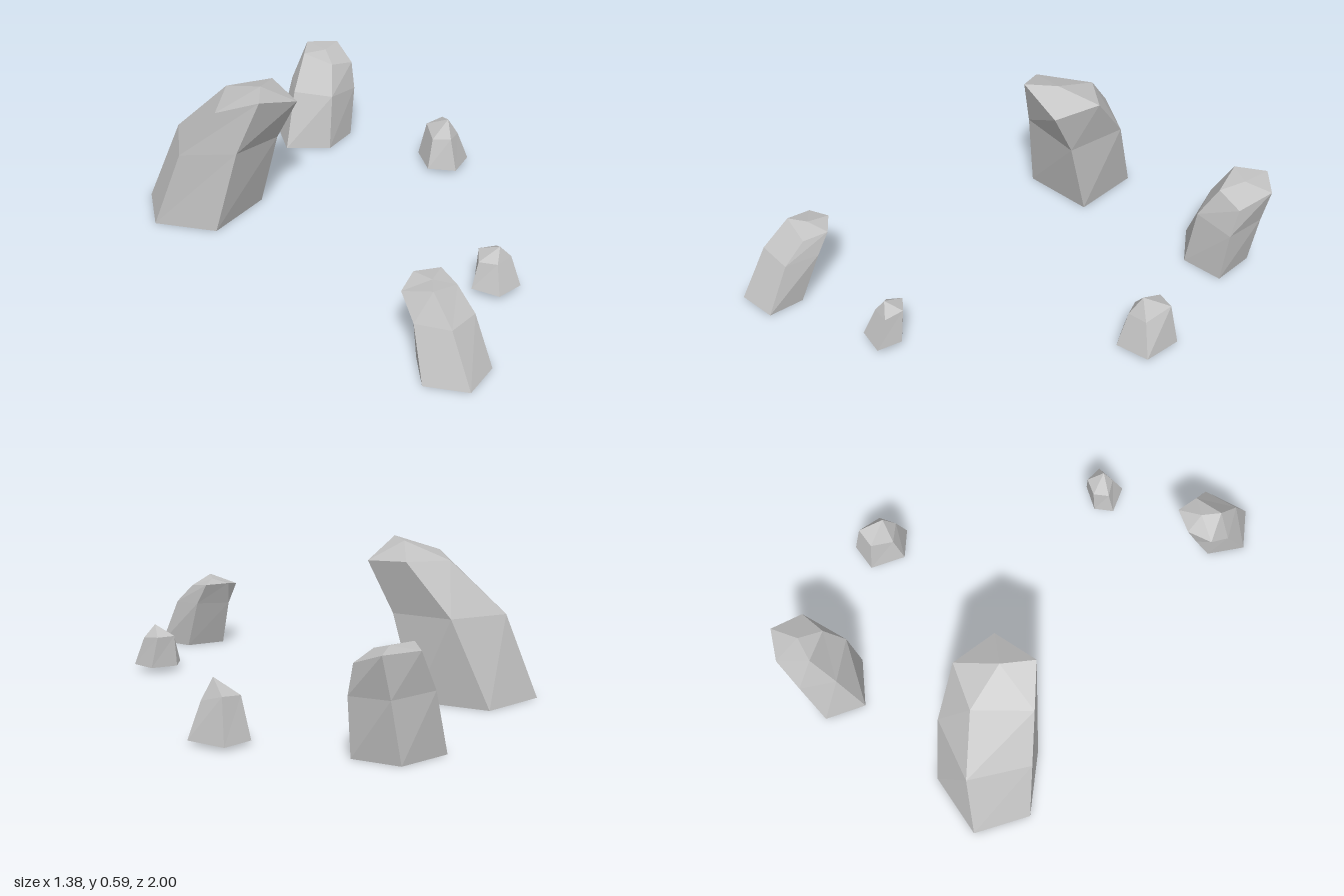
import * as THREE from 'three';

// Each rock: five-sided rings of [x, y, z] from the ground up, then a peak point
const ROCKS = {
  largeRock: {
    rings: [
      [[-0.46, 0, -0.17], [-0.24, 0, -0.36], [-0.43, 0, -0.575], [-0.68, 0, -0.51], [-0.69, 0, -0.285]],
      [[-0.37, 0.36, -0.14], [-0.18, 0.33, -0.29], [-0.3, 0.34, -0.505], [-0.55, 0.33, -0.48], [-0.58, 0.33, -0.235]],
      [[-0.28, 0.585, -0.11], [-0.113, 0.52, -0.213], [-0.175, 0.54, -0.392], [-0.36, 0.53, -0.39], [-0.44, 0.53, -0.175]],
    ],
    peak: [-0.25, 0.588, -0.24],
  },
  backRock: {
    rings: [
      [[0.132, 0, -0.707], [0.255, 0, -0.82], [0.14, 0, -0.955], [-0.053, 0, -0.915], [-0.053, 0, -0.752]],
      [[0.15, 0.24, -0.735], [0.275, 0.22, -0.835], [0.19, 0.23, -0.97], [0.02, 0.24, -0.96], [0, 0.24, -0.82]],
      [[0.167, 0.36, -0.805], [0.268, 0.335, -0.86], [0.232, 0.385, -0.985], [0.1, 0.39, -1], [0.06, 0.39, -0.883]],
    ],
    peak: [0.16, 0.39, -0.9],
  },
  frontRock: {
    rings: [
      [[0.215, 0, 0.998], [0.328, 0, 0.892], [0.25, 0, 0.775], [0.09, 0, 0.775], [0.066, 0, 0.925]],
      [[0.17, 0.2, 0.905], [0.28, 0.19, 0.82], [0.232, 0.2, 0.7], [0.09, 0.19, 0.7], [0.06, 0.19, 0.825]],
      [[0.13, 0.3, 0.81], [0.235, 0.27, 0.75], [0.205, 0.285, 0.66], [0.105, 0.285, 0.66], [0.04, 0.265, 0.735]],
    ],
    peak: [0.15, 0.295, 0.735],
  },
  smallBackRock: {
    rings: [
      [[0.605, 0.015, -0.366], [0.69, 0.015, -0.465], [0.605, 0.015, -0.588], [0.495, 0.015, -0.555], [0.495, 0.015, -0.412]],
      [[0.59, 0.15, -0.405], [0.638, 0.145, -0.46], [0.597, 0.18, -0.555], [0.52, 0.17, -0.53], [0.52, 0.14, -0.44]],
    ],
    peak: [0.59, 0.222, -0.453],
  },
  smallFrontRock: {
    rings: [
      [[0.393, 0.025, 0.47], [0.477, 0.025, 0.543], [0.577, 0.025, 0.493], [0.535, 0.025, 0.405], [0.43, 0.025, 0.4]],
      [[0.42, 0.13, 0.455], [0.48, 0.135, 0.495], [0.545, 0.14, 0.46], [0.51, 0.15, 0.395], [0.44, 0.15, 0.395]],
    ],
    peak: [0.498, 0.19, 0.46],
  },
};

// Skin the rings and fan the top to the peak; the underside stays open
function rockGeometry({ rings, peak }) {
  const pos = [];
  const tri = (a, b, c) => pos.push(...a, ...b, ...c);
  const n = rings[0].length;
  const top = rings[rings.length - 1];
  for (let i = 0; i < n; i++) {
    const j = (i + 1) % n;
    for (let r = 0; r < rings.length - 1; r++) {
      const lo = rings[r], hi = rings[r + 1];
      tri(lo[i], lo[j], hi[j]);
      tri(lo[i], hi[j], hi[i]);
    }
    tri(top[i], top[j], peak);
  }
  const geo = new THREE.BufferGeometry();
  geo.setAttribute('position', new THREE.Float32BufferAttribute(pos, 3));
  geo.computeVertexNormals(); // unshared corners give flat facets
  return geo;
}

export function createModel() {
  const group = new THREE.Group();
  group.name = 'rocks';
  const stone = new THREE.MeshStandardMaterial({ color: 0xc3c3c3, side: THREE.DoubleSide });
  stone.name = 'stone grey';
  for (const [name, rock] of Object.entries(ROCKS)) {
    const mesh = new THREE.Mesh(rockGeometry(rock), stone);
    mesh.name = name;
    group.add(mesh);
  }
  return group;
}
